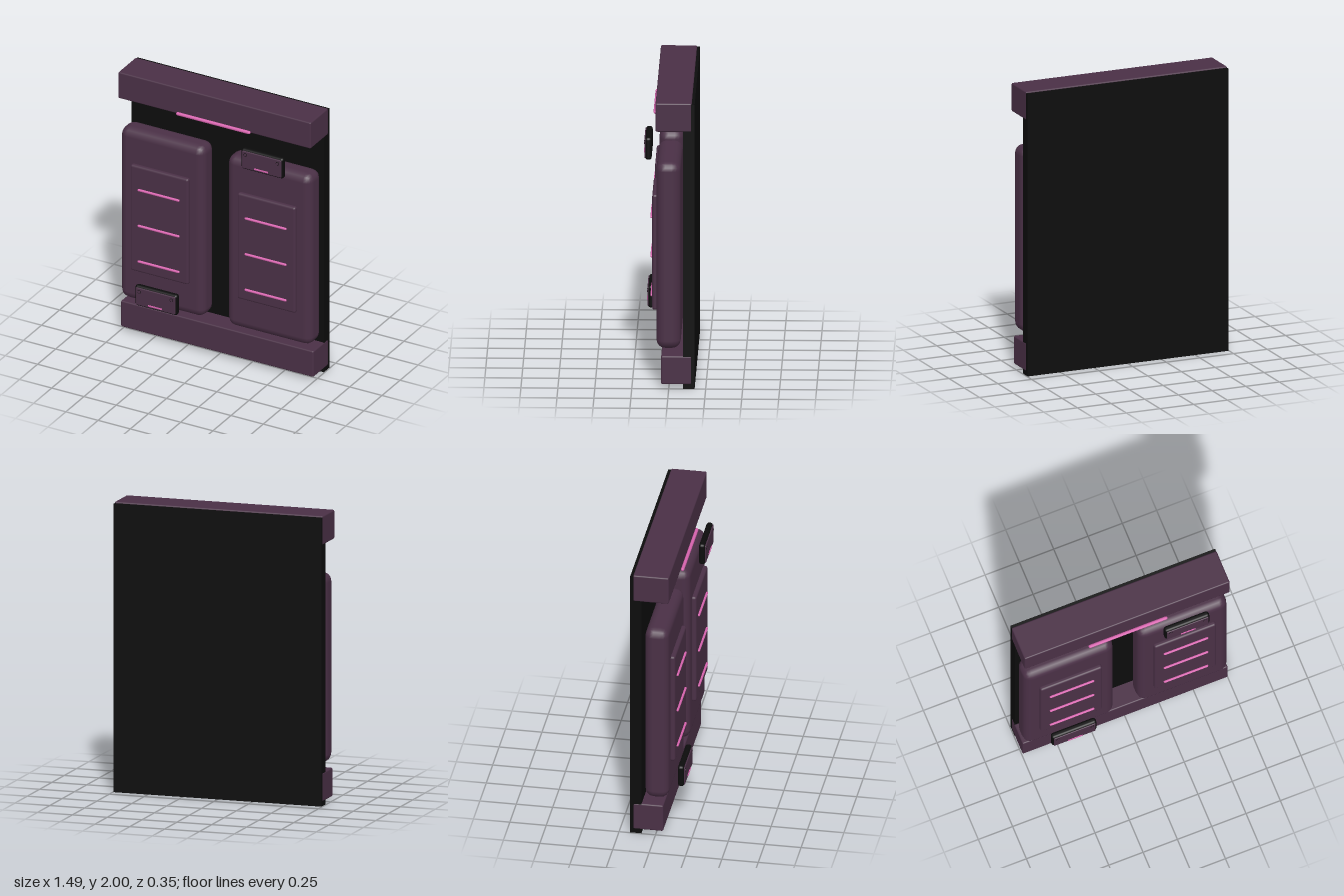
import * as THREE from 'three';
import { RoundedBoxGeometry } from 'three/addons/geometries/RoundedBoxGeometry.js';

const material = (name, color) => {
  const m = new THREE.MeshStandardMaterial({ color });
  m.name = name;
  return m;
};

export function createModel() {
  const purple = material('dark plum', 0x4a3046);
  const black = material('black', 0x0c0c0c);
  const pink = material('glowing pink', 0xd964b0);

  const model = new THREE.Group();
  model.name = 'wallPanel';

  const add = (parent, name, geometry, mat, x, y, z) => {
    const mesh = new THREE.Mesh(geometry, mat);
    mesh.name = name;
    mesh.position.set(x, y, z);
    parent.add(mesh);
    return mesh;
  };
  // Box given by its limits on each axis, with an optional edge radius
  const block = (parent, name, mat, [x0, x1], [y0, y1], [z0, z1], r = 0, seg = 2) => {
    const s = [x1 - x0, y1 - y0, z1 - z0];
    const geo = r ? new RoundedBoxGeometry(...s, seg, r) : new THREE.BoxGeometry(...s);
    return add(parent, name, geo, mat, (x0 + x1) / 2, (y0 + y1) / 2, (z0 + z1) / 2);
  };
  // Thin horizontal light tube
  const lightBar = (parent, name, length, r, x, y, z) => {
    const geo = new THREE.CapsuleGeometry(r, length - 2 * r, 3, 8).rotateZ(Math.PI / 2);
    return add(parent, name, geo, pink, x, y, z);
  };

  // Backing and the two horizontal beams
  block(model, 'backPlate', black, [-0.745, 0.745], [0, 1.99], [-0.175, -0.097]);
  block(model, 'topBeam', purple, [-0.747, 0.747], [1.8, 2], [-0.155, 0.09], 0.01);
  block(model, 'bottomBeam', purple, [-0.747, 0.747], [0.03, 0.228], [-0.155, 0.052], 0.01);
  lightBar(model, 'topLight', 0.575, 0.012, 0, 1.81, 0.103);

  // Pair of padded panels, each with a raised inset and three lights
  for (const side of [-1, 1]) {
    const panel = new THREE.Group();
    panel.name = side < 0 ? 'rightPanel' : 'leftPanel';
    panel.position.x = side * 0.415;
    model.add(panel);
    block(panel, 'cushion', purple, [-0.327, 0.327], [0.27, 1.577], [-0.08, 0.085], 0.06);
    block(panel, 'inset', purple, [-0.225, 0.225], [0.52, 1.33], [0.075, 0.115], 0.016);
    for (const y of [0.607, 0.88, 1.155]) lightBar(panel, 'panelLight', 0.325, 0.009, 0, y, 0.12);
  }

  // Small tag plates with a black bezel, screws and a light strip
  for (const [name, x, y] of [['lowerTag', -0.413, 0.367], ['upperTag', 0.41, 1.632]]) {
    const tag = new THREE.Group();
    tag.name = name;
    tag.position.set(x, y, 0);
    model.add(tag);
    block(tag, 'bezel', black, [-0.163, 0.163], [-0.078, 0.078], [0.12, 0.164], 0.018);
    block(tag, 'face', purple, [-0.152, 0.152], [-0.066, 0.066], [0.155, 0.17], 0.006);
    for (const sx of [-0.125, 0.125]) {
      add(tag, 'screwRim', new THREE.CylinderGeometry(0.013, 0.013, 0.003, 12).rotateX(Math.PI / 2),
        black, sx, 0.039, 0.17);
      add(tag, 'screw', new THREE.CylinderGeometry(0.01, 0.01, 0.004, 12).rotateX(Math.PI / 2),
        purple, sx, 0.039, 0.171);
    }
    block(tag, 'tagLight', pink, [-0.053, 0.053], [-0.053, -0.044], [0.167, 0.175]);
  }

  return model;
}
